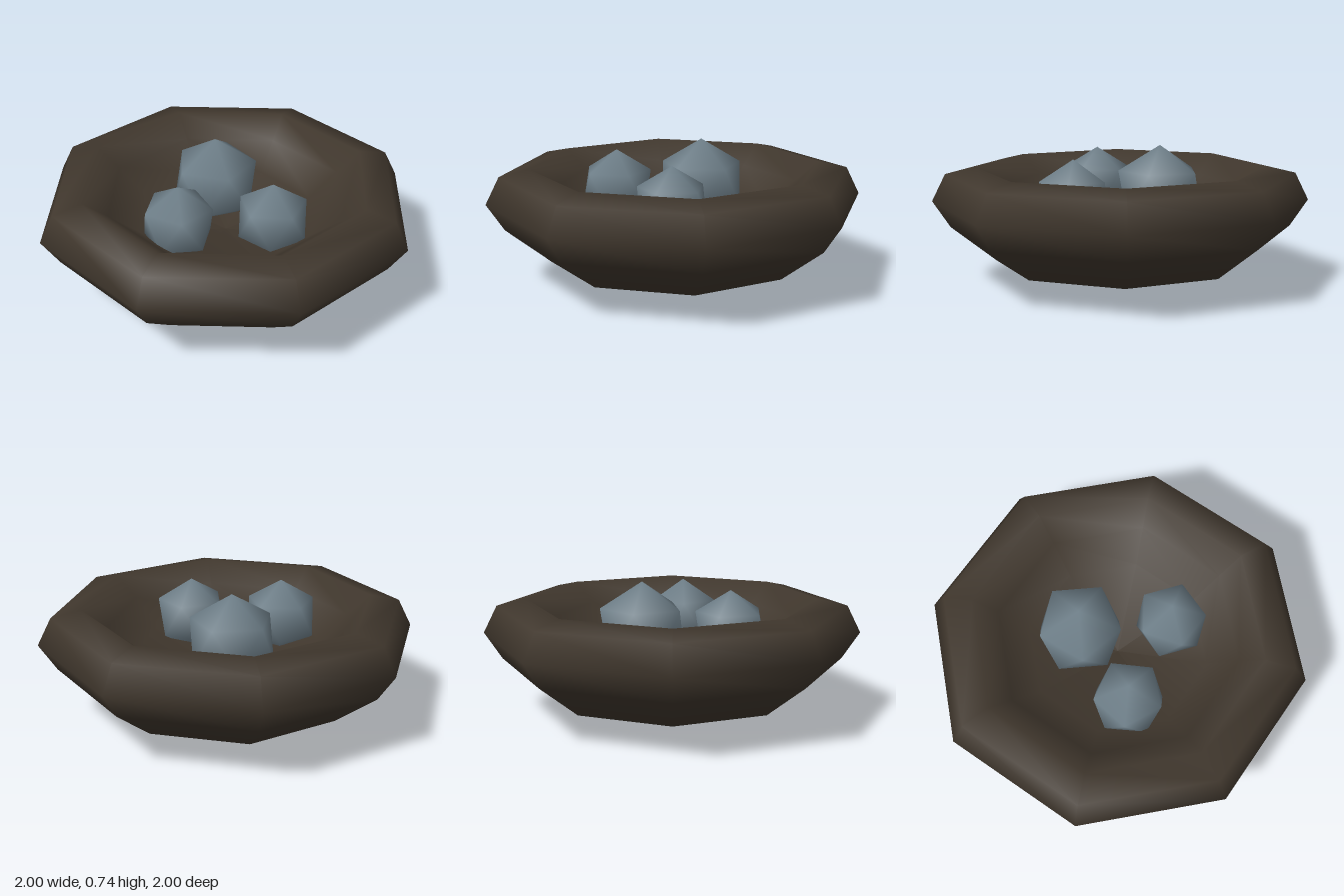
import * as THREE from 'three';
import { mergeVertices } from 'three/addons/utils/BufferGeometryUtils.js';

export function createModel() {
  const model = new THREE.Group();
  const nestBrown = new THREE.MeshStandardMaterial({ name: 'nestBrown', color: 0x40372d });
  const eggBlue = new THREE.MeshStandardMaterial({ name: 'eggBlue', color: 0x70818b });

  // Eight-sided nest: shallow base, thick rounded rim, hollow floor
  const profile = [
    [0, 0], [0.665, 0.118], [0.905, 0.3], [1, 0.44], [0.928, 0.585],
    [0.771, 0.622], [0.64, 0.52], [0.48, 0.39], [0, 0.3],
  ].map(([r, y]) => new THREE.Vector2(r, y));
  const nest = new THREE.Mesh(new THREE.LatheGeometry(profile, 8), nestBrown);
  nest.name = 'nest';
  model.add(nest);

  // Smooth-shaded icosahedron standing on one corner
  function makeEgg(radius) {
    let geometry = new THREE.IcosahedronGeometry(radius, 0);
    geometry.deleteAttribute('normal');
    geometry.deleteAttribute('uv');
    geometry = mergeVertices(geometry, 1e-4);
    geometry.rotateZ(Math.atan(2 / (1 + Math.sqrt(5))));
    geometry.computeVertexNormals();
    return geometry;
  }

  // Three eggs: name, radius, position, turn
  const eggs = [
    ['largeEgg', 0.245, [0.015, 0.492, -0.205], 0.3],
    ['rightEgg', 0.203, [-0.305, 0.488, 0.122], 0.1],
    ['leftEgg', 0.2, [0.163, 0.481, 0.25], 0.5],
  ];
  for (const [name, radius, position, turn] of eggs) {
    const egg = new THREE.Mesh(makeEgg(radius), eggBlue);
    egg.name = name;
    egg.position.set(...position);
    egg.rotation.y = turn;
    model.add(egg);
  }
  return model;
}
